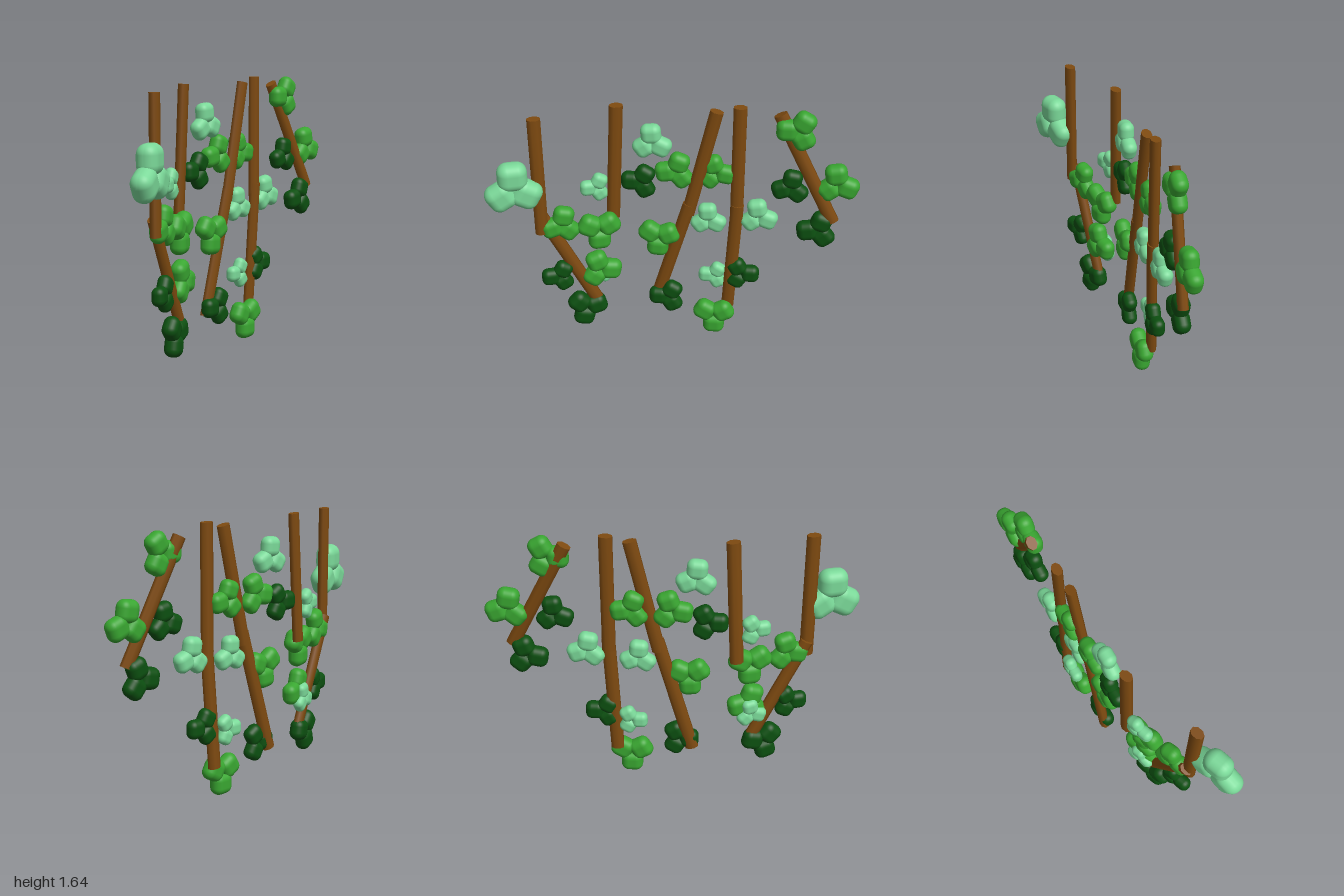
import * as THREE from 'three';
import { RoundedBoxGeometry } from 'three/addons/geometries/RoundedBoxGeometry.js';

const material = (name, color) => {
  const m = new THREE.MeshStandardMaterial({ color });
  m.name = name;
  return m;
};

// The plants hang along a line in plan that bends near the front
const slopeAt = (z) => (z > 0.3 ? 0.68 : 0.29);

export function createModel() {
  const model = new THREE.Group();
  const brown = material('barkBrown', 0x7e4a10);
  const leafMaterials = {
    green: material('leafGreen', 0x39a631),
    dark: material('darkLeafGreen', 0x0c4f10),
    mint: material('mintGreen', 0x7ad898),
  };

  // Flattened stems, each from a top point to a bottom point
  const stemGeometry = new THREE.CylinderGeometry(1, 1, 1, 8);
  stemGeometry.rotateY(Math.PI / 8);
  const stems = [
    [0.243, 1.6, 0.755, 0.243, 0.81, 0.755],
    [0.222, 0.91, 0.76, 0.065, 0.235, 0.475],
    [-0.04, 1.625, 0.37, -0.04, 0.84, 0.41],
    [-0.21, 1.615, -0.185, -0.165, 0.9, -0.03],
    [-0.165, 0.97, -0.04, -0.12, 0.215, 0.165],
    [-0.255, 1.645, -0.31, -0.255, 0.9, -0.31],
    [-0.25, 0.98, -0.315, -0.258, 0.2, -0.27],
    [-0.35, 1.595, -0.52, -0.4, 0.91, -0.865],
  ];
  for (const [ax, ay, az, bx, by, bz] of stems) {
    const top = new THREE.Vector3(ax, ay, az);
    const bottom = new THREE.Vector3(bx, by, bz);
    const y = top.clone().sub(bottom);
    const length = y.length();
    y.normalize();
    const z = new THREE.Vector3(1, 0, -slopeAt((az + bz) / 2));
    z.addScaledVector(y, -z.dot(y)).normalize();
    const x = y.clone().cross(z);
    const stem = new THREE.Mesh(stemGeometry, brown);
    stem.name = 'stem';
    stem.quaternion.setFromRotationMatrix(new THREE.Matrix4().makeBasis(x, y, z));
    stem.position.copy(top).add(bottom).multiplyScalar(0.5);
    stem.scale.set(0.042, length, 0.03);
    model.add(stem);
  }

  // Leaf clusters: three puffy lobes around a centre, unit sized
  const lobeGeometry = new RoundedBoxGeometry(0.55, 0.55, 0.4, 4, 0.19);
  // colour, x, y, z, size, angle of the first lobe in degrees
  const clusters = [
    ['mint', 0.356, 1.17, 0.86, 0.32, 90],
    ['green', 0.17, 0.85, 0.66, 0.23, 75],
    ['green', 0.05, 0.79, 0.465, 0.25, 270],
    ['mint', 0.005, 1.06, 0.5, 0.175, 60],
    ['mint', 0.03, 0.45, 0.49, 0.175, 80],
    ['dark', 0.2, 0.475, 0.68, 0.2, 60],
    ['green', 0.06, 0.5, 0.46, 0.24, 110],
    ['dark', 0.11, 0.205, 0.545, 0.24, 255],
    ['mint', -0.1, 1.39, 0.175, 0.22, 95],
    ['dark', -0.09, 1.11, 0.25, 0.21, 60],
    ['green', -0.16, 1.19, 0.05, 0.225, 70],
    ['green', -0.235, 1.19, -0.18, 0.215, 110],
    ['green', -0.1, 0.725, 0.135, 0.24, 265],
    ['mint', -0.21, 0.86, -0.145, 0.205, 95],
    ['dark', -0.12, 0.265, 0.085, 0.215, 60],
    ['mint', -0.3, 0.9, -0.435, 0.215, 100],
    ['mint', -0.245, 0.42, -0.177, 0.175, 60],
    ['dark', -0.27, 0.465, -0.35, 0.205, 0],
    ['green', -0.2, 0.14, -0.2, 0.245, 270],
    ['green', -0.355, 1.51, -0.63, 0.235, 60],
    ['dark', -0.34, 1.13, -0.61, 0.21, 80],
    ['green', -0.425, 1.165, -0.87, 0.24, 100],
    ['dark', -0.385, 0.84, -0.78, 0.23, 70],
  ];
  for (const [tone, x, y, z, size, angle] of clusters) {
    const cluster = new THREE.Group();
    cluster.name = 'leafCluster';
    for (let i = 0; i < 3; i++) {
      const a = THREE.MathUtils.degToRad(angle + i * 120);
      const lobe = new THREE.Mesh(lobeGeometry, leafMaterials[tone]);
      lobe.name = 'leafLobe';
      lobe.position.set(Math.cos(a) * 0.265, Math.sin(a) * 0.265, 0);
      lobe.rotation.z = a;
      cluster.add(lobe);
    }
    cluster.position.set(x, y, z);
    cluster.rotation.y = Math.atan2(1, -slopeAt(z));
    cluster.scale.setScalar(size);
    model.add(cluster);
  }
  return model;
}
